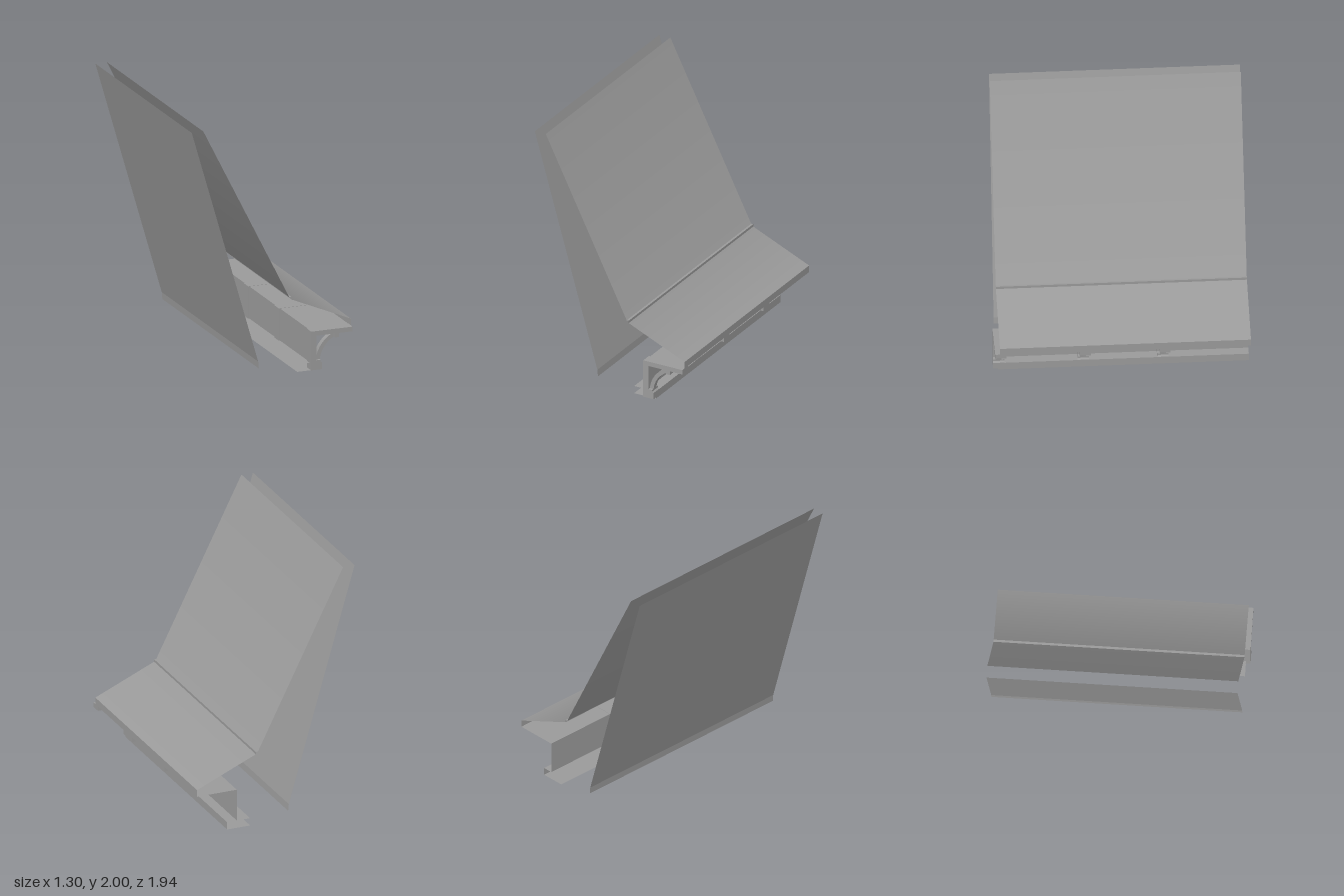
import * as THREE from 'three';

const Z_FRONT = 0.935, Z_BACK = -0.97;
const GREY = 0x9a9a9a;
const sheetMat = new THREE.MeshStandardMaterial({ color: GREY, side: THREE.DoubleSide });
const solidMat = new THREE.MeshStandardMaterial({ color: GREY });

// Unit normal of a profile segment, to the left of its direction
const normalOf = ([ax, ay], [bx, by]) => new THREE.Vector2(ay - by, bx - ax).normalize();

// Thin folded sheet: an open [x, y] profile swept along z.
// soft maps a segment to its [start, end] normals where a fold is eased.
function sheet(name, profile, soft = {}) {
  const pos = [], nor = [];
  for (let i = 0; i < profile.length - 1; i++) {
    const a = profile[i], b = profile[i + 1];
    const flat = normalOf(a, b);
    const [na, nb] = soft[i] ?? [flat, flat];
    const corners = [
      [a, na, Z_FRONT], [b, nb, Z_FRONT], [b, nb, Z_BACK],
      [a, na, Z_FRONT], [b, nb, Z_BACK], [a, na, Z_BACK],
    ];
    for (const [p, n, z] of corners) {
      pos.push(p[0], p[1], z);
      nor.push(n.x, n.y, 0);
    }
  }
  const geo = new THREE.BufferGeometry();
  geo.setAttribute('position', new THREE.Float32BufferAttribute(pos, 3));
  geo.setAttribute('normal', new THREE.Float32BufferAttribute(nor, 3));
  const mesh = new THREE.Mesh(geo, sheetMat);
  mesh.name = name;
  return mesh;
}

// Solid made from a shape in xy, centred on z = 0
function slab(name, shape, width) {
  const geo = new THREE.ExtrudeGeometry(shape, { depth: width, bevelEnabled: false, curveSegments: 16 });
  geo.translate(0, 0, -width / 2);
  const mesh = new THREE.Mesh(geo, solidMat);
  mesh.name = name;
  return mesh;
}

const polygon = (pts) => new THREE.Shape(pts.map(([x, y]) => new THREE.Vector2(x, y)));

function createBracket() {
  const bracket = new THREE.Group();
  bracket.name = 'eaveBracket';

  // Wall post, top arm and foot in one outline
  bracket.add(slab('bracketFrame', polygon([
    [0.31, 0.01], [0.4, 0.01], [0.4, 0.062], [0.388, 0.072], [0.388, 0.085],
    [0.355, 0.085], [0.355, 0.28], [0.65, 0.28], [0.65, 0.317], [0.31, 0.317],
  ]), 0.085));

  // Small block under the arm where the brace ends
  bracket.add(slab('braceHead', polygon([
    [0.505, 0.28], [0.505, 0.247], [0.54, 0.247], [0.54, 0.28],
  ]), 0.08));

  // Curved brace, narrower than the frame
  const start = Math.PI * 0.975, end = Math.PI * 0.645;
  const arc = new THREE.Shape();
  arc.absarc(0.6, 0.06, 0.245, start, end, true);
  arc.absarc(0.6, 0.06, 0.213, end, start, false);
  arc.closePath();
  bracket.add(slab('curvedBrace', arc, 0.045));
  return bracket;
}

export function createModel() {
  const model = new THREE.Group();
  model.name = 'roofEave';

  // Steep front slope, small step, flared lower slope, fascia and soffit
  const roof = [
    [-0.56, 2], [0.145, 0.6], [0.163, 0.6], [0.163, 0.58],
    [0.65, 0.37], [0.65, 0.315], [0.32, 0.315],
  ];
  const steep = normalOf(roof[0], roof[1]), flare = normalOf(roof[3], roof[4]);
  const blend = (t) => steep.clone().lerp(flare, t).normalize();
  model.add(sheet('frontRoof', roof, { 0: [steep, blend(0.25)], 3: [blend(0.55), flare] }));

  // Wall under the soffit
  model.add(sheet('wall', [[0.32, 0.315], [0.32, 0.06]]));

  // Sill ledge, open to the inside
  model.add(sheet('sill', [[0.21, 0.06], [0.4, 0.06], [0.4, 0], [0.21, 0]]));

  // Rear slope with a short upright lip, facing outward
  model.add(sheet('backRoof', [[-0.105, 0.065], [-0.11, 0.12], [-0.655, 2]]));

  // Row of brackets along the eave
  for (const z of [0.928, 0.287, -0.318]) {
    const bracket = createBracket();
    bracket.position.z = z;
    model.add(bracket);
  }
  return model;
}
